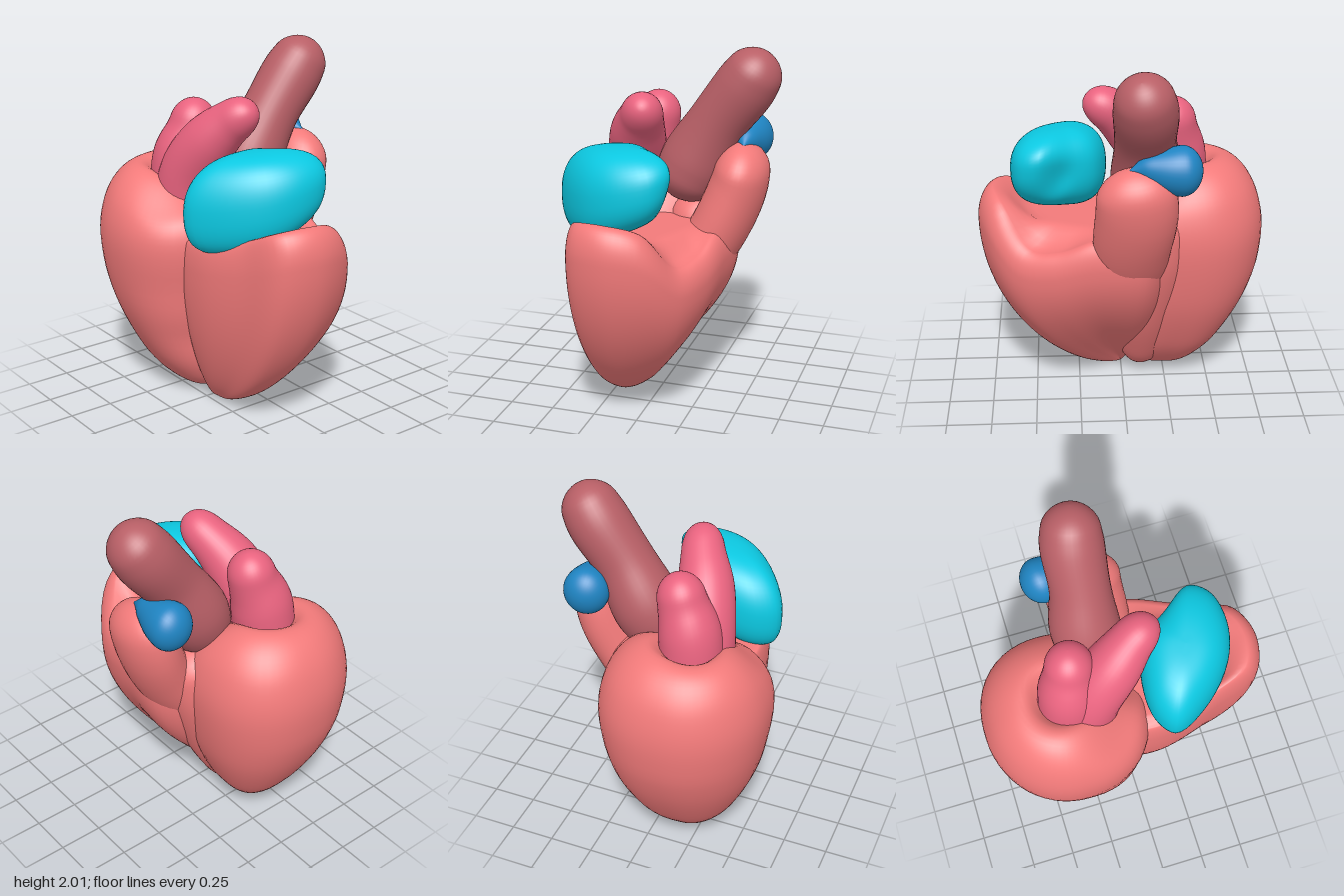
import * as THREE from 'three';

const V = (x, y, z) => new THREE.Vector3(x, y, z);
const RED = 0xf27a7a, AORTA = 0xb85f66, PINK = 0xe9637f, CYAN = 0x0cc9e2, BLUE = 0x1f84c2;

// Smooth surface closed around u (0..1), running along v (0..1)
function surface(nu, nv, fn) {
  const pos = [], idx = [];
  for (let j = 0; j <= nv; j++)
    for (let i = 0; i < nu; i++) pos.push(...fn(i / nu, j / nv).toArray());
  for (let j = 0; j < nv; j++)
    for (let i = 0; i < nu; i++) {
      const a = j * nu + i, b = j * nu + ((i + 1) % nu);
      idx.push(a, a + nu, b, b, a + nu, b + nu);
    }
  const g = new THREE.BufferGeometry();
  g.setAttribute('position', new THREE.Float32BufferAttribute(pos, 3));
  g.setIndex(idx);
  g.computeVertexNormals();
  return g;
}

// Round-ended tube through [x, y, z, radius] points; sx flattens its section
function softTube(pts, { sx = 1, cap = 0.2 } = {}) {
  const n = 40;
  const path = new THREE.CatmullRomCurve3(pts.map(p => V(p[0], p[1], p[2])));
  const radii = new THREE.SplineCurve(pts.map((p, i) => new THREE.Vector2(i, p[3])));
  const frames = path.computeFrenetFrames(n, false);
  return surface(36, n, (u, v) => {
    // samples crowd towards both ends so the caps stay round
    const t = (1 - Math.cos(v * Math.PI)) / 2;
    const k = Math.min(1, Math.min(t, 1 - t) / cap);
    const r = radii.getPoint(path.getUtoTmapping(t)).y * Math.sqrt(Math.max(0, 1 - (1 - k) ** 2));
    const f = Math.round(t * n), a = u * Math.PI * 2;
    const o = frames.normals[f].clone().multiplyScalar(r * Math.cos(a))
      .addScaledVector(frames.binormals[f], -r * Math.sin(a));
    return path.getPointAt(t).add(V(o.x * sx, o.y, o.z));
  });
}

// Push the vertices near a point along a vector
function dent(geo, at, size, push) {
  const p = geo.attributes.position, q = V(0, 0, 0);
  for (let i = 0; i < p.count; i++) {
    q.fromBufferAttribute(p, i);
    q.addScaledVector(push, Math.exp(-q.distanceToSquared(at) / (size * size)));
    p.setXYZ(i, q.x, q.y, q.z);
  }
  geo.computeVertexNormals();
  return geo;
}

// Rear chamber: rounded cone with a dimpled top, wider on one diagonal, its tip reaching forward
function rearChamber() {
  const profile = new THREE.SplineCurve([
    [0, 0.015], [0.08, 0.035], [0.18, 0.12], [0.29, 0.28], [0.405, 0.56], [0.46, 0.9],
    [0.425, 1.13], [0.33, 1.28], [0.2, 1.35], [0.1, 1.29], [0, 1.23],
  ].map(p => new THREE.Vector2(...p)));
  const g = surface(56, 56, (u, v) => {
    const p = profile.getPoint(v), a = u * Math.PI * 2;
    const low = Math.max(0, 1 - p.y / 0.7);
    const r = Math.max(0, p.x) * (1 + (0.06 + 0.08 * low) * Math.max(0, -Math.sin(2 * a)) ** 1.5);
    const toe = 0.13 * Math.max(0, Math.sin(a)) * Math.max(0, 1 - p.y / 0.4) * Math.min(1, r / 0.08);
    return V(-0.18 + r * Math.cos(a), p.y, -0.35 + 0.09 * low + toe + r * Math.sin(a));
  });
  dent(g, V(-0.05, 1.28, -0.02), 0.24, V(0, -0.24, 0));
  dent(g, V(-0.45, 1.25, -0.12), 0.22, V(0, -0.1, 0));
  return dent(g, V(-0.24, 1.33, -0.42), 0.13, V(0, -0.06, 0));
}

// Front chamber: walls rise from the tip to an uneven rim that folds into a saddle
function frontChamber() {
  const tip = V(-0.19, 0, 0.0), floor = 1.04;
  // rim points x, height, z and wall fullness
  const rim = [
    [0.40, 1.03, 0.18, 1.1], [0.35, 0.95, 0.4, 0.9], [0.27, 0.94, 0.58, 0.68],
    [0.12, 1.15, 0.75, 0.55], [-0.09, 1.2, 0.81, 0.5], [-0.29, 1.18, 0.74, 0.5],
    [-0.37, 1.08, 0.5, 0.55], [-0.44, 1.02, 0.2, 0.6], [-0.4, 1.0, -0.03, 0.7],
    [-0.1, 1.0, -0.2, 0.9], [0.22, 0.98, -0.23, 0.95], [0.41, 1.05, -0.11, 1.05],
  ];
  const edge = new THREE.CatmullRomCurve3(rim.map(p => V(p[0], p[1], p[2])), true);
  const full = new THREE.CatmullRomCurve3(rim.map((p, i) => V(p[3], i * 0.01, 0)), true);
  return surface(72, 64, (u, v) => {
    const e = edge.getPoint(u), p = full.getPoint(u).x;
    let g, y;
    if (v < 0.55) {                       // outer wall
      const f = 0.85 * (v / 0.55) ** 2;
      g = Math.sin((Math.PI / 2) * f / 0.85) ** p;
      y = f * e.y;
    } else if (v < 0.75) {                // rounded rim
      const a = ((v - 0.55) / 0.2) * Math.PI / 2;
      g = 0.88 + 0.12 * Math.cos(a);
      y = e.y * (0.85 + 0.15 * Math.sin(a));
    } else {                              // inner slope and floor
      g = 0.88 * (1 - (v - 0.75) / 0.25);
      y = THREE.MathUtils.lerp(e.y, floor, THREE.MathUtils.smoothstep(0.88 - g, 0, 0.26));
    }
    return V(tip.x + (e.x - tip.x) * g, y, tip.z + (e.z - tip.z) * g);
  });
}

// Front pouch: a soft tilted block grown from its plan outline
function frontPouch() {
  const c = V(-0.17, 1.28, 0.34);
  const plan = new THREE.CatmullRomCurve3([
    [0.08, 0.28], [0.2, 0.46], [0.12, 0.58], [-0.07, 0.62], [-0.26, 0.56],
    [-0.44, 0.38], [-0.52, 0.19], [-0.42, 0.1], [-0.25, 0.08], [-0.03, 0.14],
  ].map(p => V(p[0], 0, p[1])), true);
  const g = surface(48, 32, (u, v) => {
    const a = (v - 0.5) * Math.PI, s = Math.sin(a), e = plan.getPoint(u);
    const k = Math.max(0, Math.cos(a)) ** (s > 0 ? 0.75 : 0.6);
    const x = c.x + (e.x - c.x) * k;
    const y = c.y + 0.24 * Math.sign(s) * Math.abs(s) ** 0.85 + (0.23 - 0.12 * s) * (x - c.x);
    return V(x, y, c.z + (e.z - c.z) * k);
  });
  return dent(g, V(0.15, 1.3, 0.38), 0.12, V(-0.07, 0, -0.02));
}

export function createModel() {
  const model = new THREE.Group();
  const add = (name, geometry, color) => {
    const mesh = new THREE.Mesh(geometry, new THREE.MeshStandardMaterial({ color }));
    mesh.name = name;
    model.add(mesh);
  };

  add('rearChamber', rearChamber(), RED);
  add('frontChamber', frontChamber(), RED);

  // Wall that fills the groove between the two chambers
  add('wallBetweenChambers', softTube([
    [-0.18, 0.02, -0.1, 0.09], [-0.1, 0.2, -0.12, 0.14], [0.02, 0.5, -0.14, 0.18],
    [0.13, 0.85, -0.17, 0.19], [0.2, 1.15, -0.15, 0.16],
  ], { cap: 0.12 }), RED);

  // Outflow neck rising on the left side
  add('outflowNeck', softTube([
    [-0.02, 0.42, -0.04, 0.13], [0.15, 0.72, -0.03, 0.19], [0.32, 1.0, -0.04, 0.215],
    [0.42, 1.25, -0.06, 0.22], [0.46, 1.48, -0.04, 0.2],
  ], { sx: 0.7, cap: 0.13 }), RED);

  // Large slanted vessel, fuller at its root and narrowing to the tip
  add('largeVessel', softTube([
    [0.04, 1.13, -0.09, 0.16], [0.145, 1.34, -0.125, 0.195], [0.28, 1.58, -0.11, 0.165],
    [0.44, 1.8, -0.1, 0.17], [0.555, 1.98, -0.07, 0.135],
  ], { cap: 0.12 }), AORTA);

  // Rear pouch: a broad base with a forward arm and a rear lobe
  add('rearPouchArm', softTube([
    [-0.23, 1.0, -0.25, 0.17], [-0.215, 1.3, -0.19, 0.17], [-0.17, 1.5, -0.06, 0.155],
    [-0.1, 1.64, 0.08, 0.118], [-0.06, 1.71, 0.2, 0.11],
  ], { cap: 0.15 }), PINK);
  add('rearPouchLobe', softTube([
    [-0.2, 1.02, -0.33, 0.17], [-0.18, 1.36, -0.31, 0.17],
    [-0.13, 1.53, -0.29, 0.135], [-0.09, 1.69, -0.28, 0.12],
  ], { cap: 0.18 }), PINK);

  add('frontPouch', frontPouch(), CYAN);

  // Small pointed pouch on the neck
  add('sidePouch', softTube([
    [0.45, 1.47, -0.01, 0.02], [0.44, 1.48, -0.1, 0.07],
    [0.43, 1.465, -0.25, 0.13], [0.41, 1.455, -0.4, 0.14],
  ], { sx: 0.92, cap: 0.3 }), BLUE);

  return model;
}
